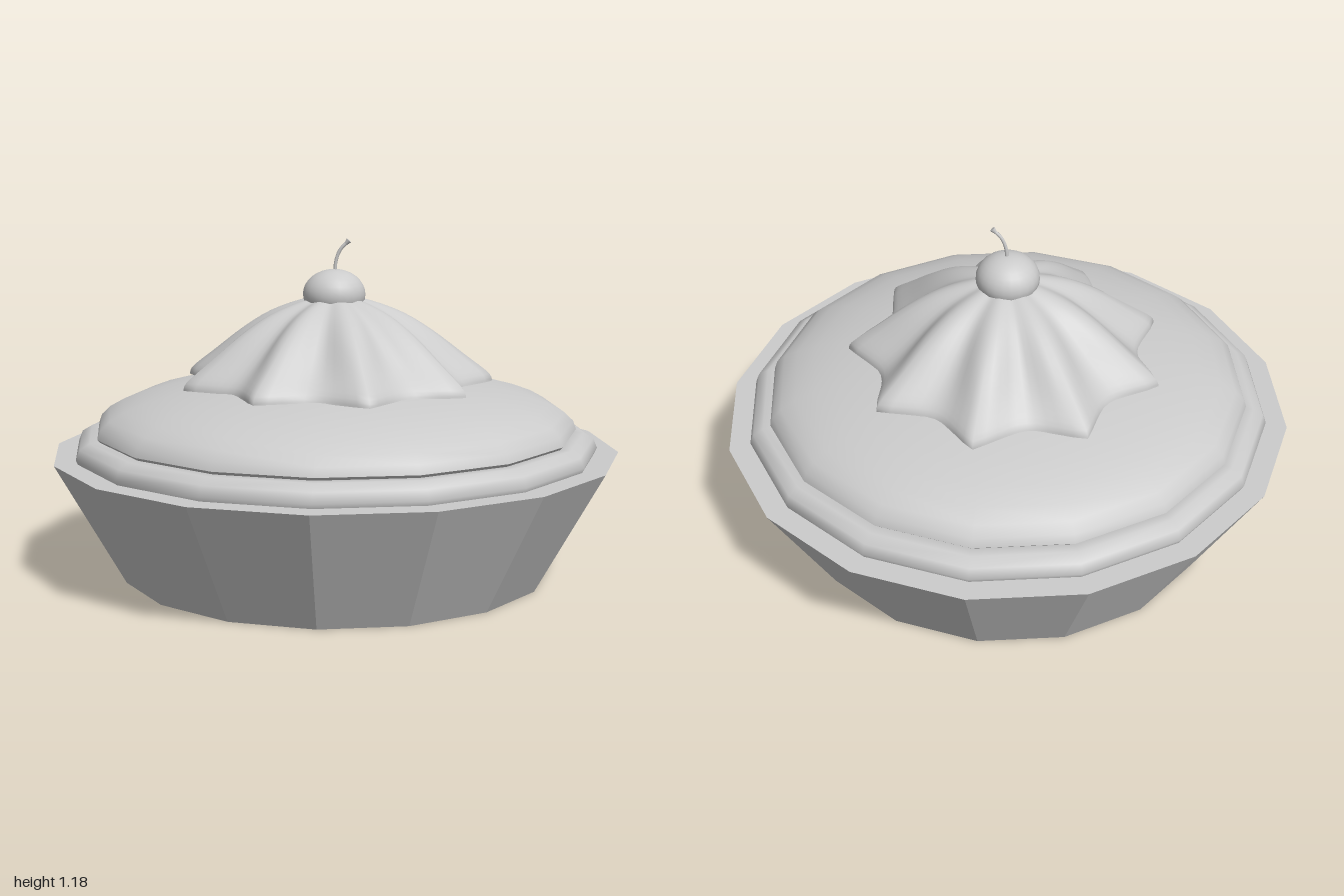
import * as THREE from 'three';
import { mergeVertices } from 'three/addons/utils/BufferGeometryUtils.js';

const SIDES = 16;
const smooth = new THREE.MeshStandardMaterial({ color: 0xcccccc });
const doubleSided = new THREE.MeshStandardMaterial({ color: 0xcccccc, side: THREE.DoubleSide });
const faceted = new THREE.MeshStandardMaterial({ color: 0xcccccc, flatShading: true });

function part(name, geometry, material = smooth) {
  const mesh = new THREE.Mesh(geometry, material);
  mesh.name = name;
  return mesh;
}

const profile = (pairs) => pairs.map(([r, y]) => new THREE.Vector2(r, y));

// Whipped cream: a cone profile pinched inward between nine sharp ridges
function creamGeometry() {
  const RIDGES = 9, TIP = -0.1, BASE = 0.67, TOP = 0.975;
  const curve = new THREE.SplineCurve(profile([
    [0.56, BASE], [0.545, 0.7], [0.46, 0.765], [0.34, 0.855], [0.23, 0.92], [0.1, 0.965], [0, TOP],
  ]));
  let geo = new THREE.LatheGeometry(curve.getPoints(20), RIDGES * 10);
  const pos = geo.attributes.position;
  for (let i = 0; i < pos.count; i++) {
    const x = pos.getX(i), y = pos.getY(i), z = pos.getZ(i);
    const t = THREE.MathUtils.clamp((y - BASE) / (TOP - BASE), 0, 1);
    const s = Math.abs(Math.sin((Math.atan2(z, x) - TIP) * RIDGES / 2));
    // sharp at the hem, rounder toward the top
    const valley = THREE.MathUtils.lerp(s, s * s, Math.min(1, t * 1.6));
    const k = 1 - valley * (0.18 + 0.12 * t * (1 - t));
    pos.setXYZ(i, x * k, y, z * k);
  }
  geo.deleteAttribute('normal');
  geo.deleteAttribute('uv');
  geo = mergeVertices(geo, 1e-4);
  geo.computeVertexNormals();
  return geo;
}

export function createModel() {
  const group = new THREE.Group();
  group.name = 'pie';

  // Flared crust
  const crust = part('crust', new THREE.CylinderGeometry(1, 0.76, 0.43, SIDES), faceted);
  crust.position.y = 0.215;
  group.add(crust);

  // Rounded rim lying on the crust
  const rim = part('crustRim', new THREE.TorusGeometry(0.855, 0.07, 10, SIDES));
  rim.rotation.x = -Math.PI / 2;
  rim.scale.z = 0.82;
  rim.position.y = 0.445;
  group.add(rim);

  // Domed filling with a small undercut lip
  const dome = [];
  for (let i = 0; i <= 10; i++) {
    const a = (i / 10) * Math.PI / 2;
    dome.push([0.85 * Math.cos(a), 0.51 + 0.195 * Math.sin(a)]);
  }
  group.add(part('filling', new THREE.LatheGeometry(profile(dome), SIDES)));
  group.add(part('fillingLip', new THREE.LatheGeometry(profile([[0.8, 0.46], [0.85, 0.51]]), SIDES), doubleSided));

  group.add(part('whippedCream', creamGeometry(), doubleSided));

  // Cherry
  const cherry = part('cherry', new THREE.SphereGeometry(0.11, 24, 16));
  cherry.scale.y = 0.8;
  cherry.position.set(-0.003, 0.98, 0);
  group.add(cherry);

  // Curved stem with a flared end
  const path = new THREE.CatmullRomCurve3([
    new THREE.Vector3(0, 1.05, 0),
    new THREE.Vector3(0.003, 1.095, 0),
    new THREE.Vector3(0.018, 1.135, 0),
    new THREE.Vector3(0.046, 1.165, 0),
  ]);
  group.add(part('stem', new THREE.TubeGeometry(path, 12, 0.006, 8), doubleSided));
  const tip = part('stemTip', new THREE.CylinderGeometry(0.01, 0.006, 0.016, 8));
  tip.position.copy(path.getPoint(0.97));
  tip.quaternion.setFromUnitVectors(new THREE.Vector3(0, 1, 0), path.getTangent(1));
  group.add(tip);

  return group;
}
